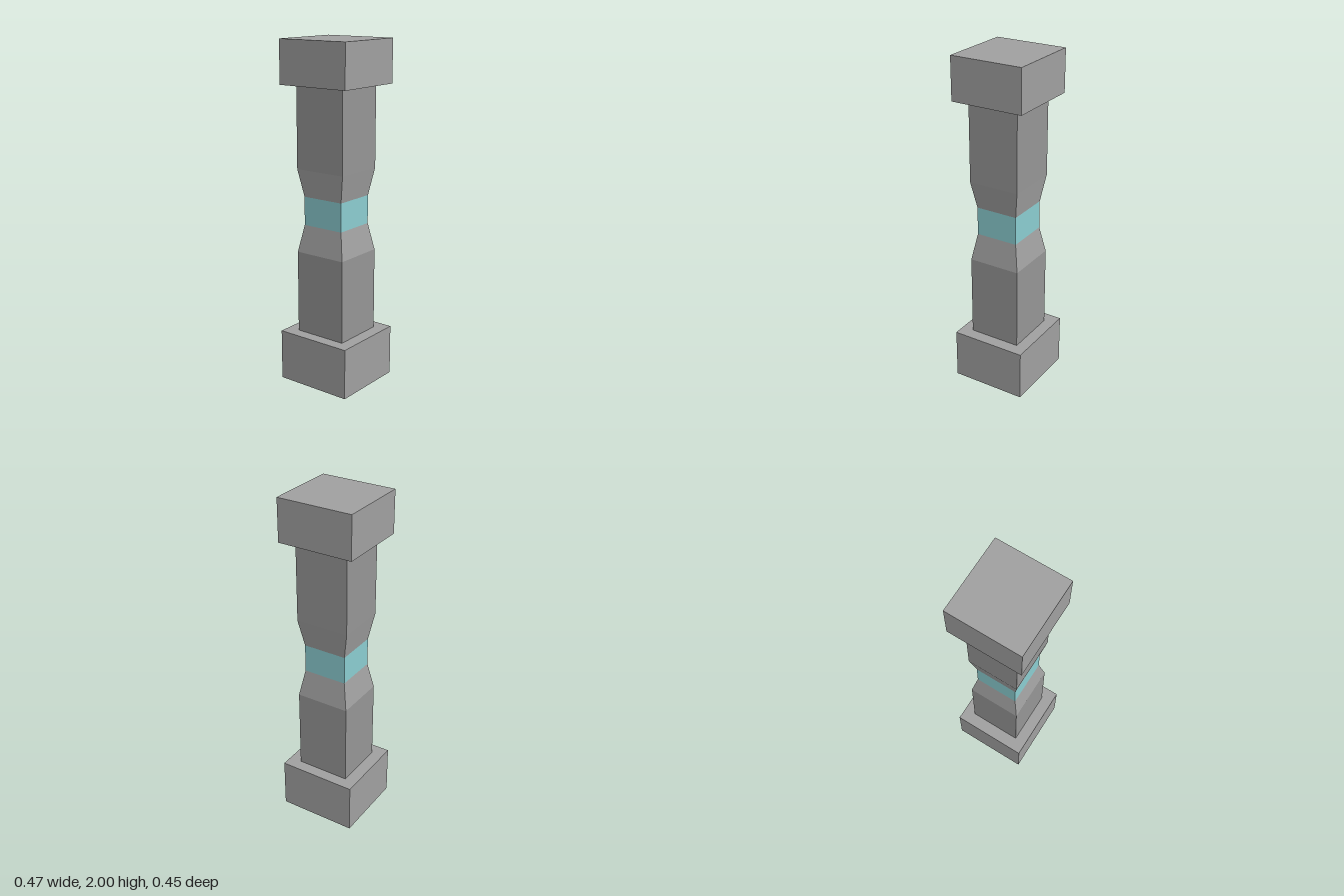
import * as THREE from 'three';

export function createModel() {
  const group = new THREE.Group();
  const paint = (color) => new THREE.MeshStandardMaterial({ color, flatShading: true });
  const stone = paint(0xa0a0a0);
  const darkStone = paint(0x959595);
  const teal = paint(0x8bccd0);

  // Rectangular block between two heights
  function block(name, y0, y1, halfX, halfZ) {
    const mesh = new THREE.Mesh(new THREE.BoxGeometry(halfX * 2, y1 - y0, halfZ * 2), stone);
    mesh.name = name;
    mesh.position.y = (y0 + y1) / 2;
    group.add(mesh);
  }

  // Open four-sided section; each end is [y, halfX, halfZ]
  function section(name, bottom, top, material) {
    const geometry = new THREE.CylinderGeometry(1, 1, 1, 4, 1, true);
    geometry.rotateY(Math.PI / 4);
    const p = geometry.attributes.position;
    for (let i = 0; i < p.count; i++) {
      const [y, hx, hz] = p.getY(i) > 0 ? top : bottom;
      p.setXYZ(i, Math.sign(p.getX(i)) * hx, y, Math.sign(p.getZ(i)) * hz);
    }
    geometry.computeVertexNormals();
    const mesh = new THREE.Mesh(geometry, material);
    mesh.name = name;
    group.add(mesh);
  }

  block('base', 0, 0.3, 0.235, 0.226);
  block('capital', 1.75, 2, 0.226, 0.217);

  // Column profile from base to capital, pinched around the coloured band
  const rings = [
    [0.3, 0.161, 0.156],
    [0.787, 0.161, 0.156],
    [0.947, 0.131, 0.127],
    [1.114, 0.131, 0.127],
    [1.275, 0.161, 0.153],
    [1.75, 0.161, 0.153],
  ];
  const parts = [
    ['lowerShaft', darkStone],
    ['lowerTaper', stone],
    ['band', teal],
    ['upperTaper', stone],
    ['upperShaft', darkStone],
  ];
  parts.forEach(([name, material], i) => section(name, rings[i], rings[i + 1], material));

  return group;
}
